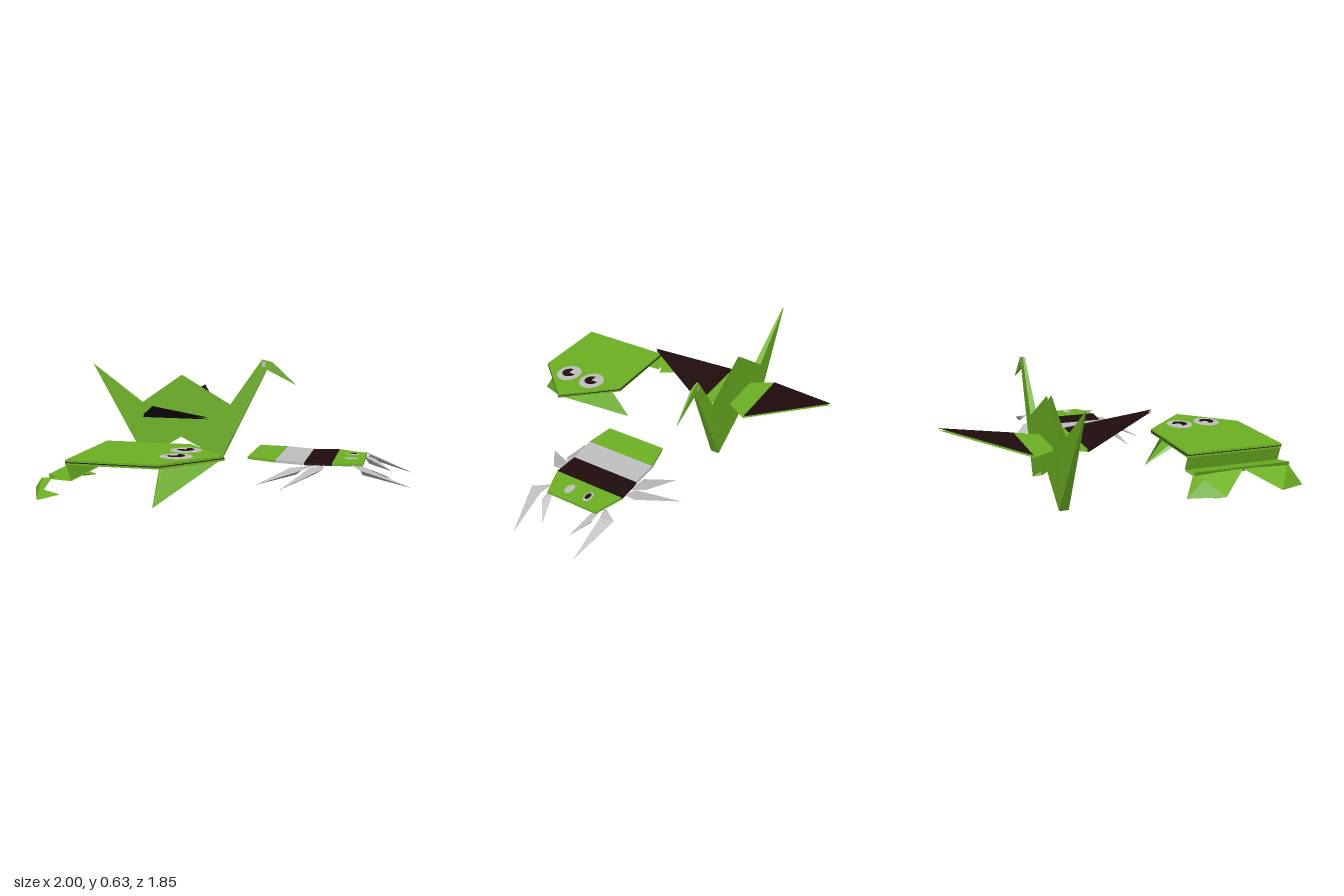
import * as THREE from 'three';

const paint = (name, color) => {
  const m = new THREE.MeshStandardMaterial({ color, side: THREE.DoubleSide, flatShading: true });
  m.name = name;
  return m;
};

export function createModel() {
  const green = paint('greenPaper', 0x6cb022);
  const dark = paint('darkPaper', 0x200c0d);
  const grey = paint('greyPaper', 0xbebebe);
  const model = new THREE.Group();
  model.name = 'foldedPaperAnimals';

  const group = (name) => {
    const g = new THREE.Group();
    g.name = name;
    model.add(g);
    return g;
  };
  // Paper faces: each polygon is a fan around its first corner
  const sheet = (parent, name, mat, ...polys) => {
    const pos = [];
    for (const p of polys)
      for (let i = 1; i < p.length - 1; i++) pos.push(...p[0], ...p[i], ...p[i + 1]);
    const g = new THREE.BufferGeometry();
    g.setAttribute('position', new THREE.Float32BufferAttribute(pos, 3));
    g.computeVertexNormals();
    const m = new THREE.Mesh(g, mat);
    m.name = name;
    parent.add(m);
    return m;
  };
  // Flat board lying in x-z, from an x-z outline
  const board = (parent, name, mat, outline, y, thick) => {
    const s = new THREE.Shape(outline.map(([x, z]) => new THREE.Vector2(x, -z)));
    const g = new THREE.ExtrudeGeometry(s, { depth: thick, bevelEnabled: false });
    g.rotateX(-Math.PI / 2);
    const m = new THREE.Mesh(g, mat);
    m.name = name;
    m.position.y = y;
    parent.add(m);
    return m;
  };
  const disc = (parent, name, mat, x, y, z, rx, rz, start = 0, len = Math.PI * 2) => {
    const m = new THREE.Mesh(new THREE.CircleGeometry(1, 32, start, len), mat);
    m.name = name;
    m.rotation.x = -Math.PI / 2;
    m.scale.set(rx, rz, 1);
    m.position.set(x, y, z);
    parent.add(m);
  };

  // ---- Crane ----
  const crane = group('crane');
  crane.position.z = -0.36;
  for (const s of [1, -1]) {
    const p = (x, y, z) => [x, y, z * s];
    const tailTip = p(-1, 0.59, 0.003), tailTop = p(-0.68, 0.35, 0.018), tailBase = p(-0.66, 0, 0.025);
    const neckTop = p(-0.11, 0.35, 0.018), neckBase = p(-0.16, 0.015, 0.025);
    const crown = p(0.09, 0.635, 0.006), throat = p(0.12, 0.575, 0.008);
    const brow = p(0.15, 0.622, 0.006), beak = p(0.3, 0.485, 0.002);
    sheet(crane, 'craneBody', green,
      [p(-0.42, 0.145, 0.02), tailBase, tailTop, p(-0.42, 0.53, 0.012), neckTop, neckBase]);
    sheet(crane, 'tail', green, [tailTip, tailTop, tailBase]);
    sheet(crane, 'neck', green, [neckBase, neckTop, crown, throat]);
    sheet(crane, 'head', green, [throat, crown, brow, beak]);
    // Folded rims closing the paper towards the middle plane
    const mid = (v) => [v[0], v[1], 0];
    const rim = (a, b) => [a, b, mid(b), mid(a)];
    sheet(crane, 'foldedRim', green, rim(tailTip, tailBase), rim(tailTip, tailTop), rim(neckBase, throat),
      rim(neckTop, crown), rim(crown, brow), rim(brow, beak), rim(throat, beak));
    sheet(crane, 'craneEye', grey,
      [p(0.09, 0.59, 0.011), p(0.112, 0.59, 0.011), p(0.112, 0.625, 0.011), p(0.09, 0.625, 0.011)]);

    // Wings: a level root and a raised dark tip
    for (const y of [0.28, 0.291]) {
      const a = p(-0.63, y, 0.14), b = p(-0.21, y, 0.14);
      sheet(crane, 'wingRoot', green, [p(-0.55, y, 0.015), a, b, p(-0.29, y, 0.015)]);
      sheet(crane, 'wingTip', s > 0 || y > 0.285 ? dark : green, [a, p(-0.42, y + 0.12, 0.565), b]);
    }
  }

  // ---- Frog ----
  const frog = group('frog');
  frog.position.z = 0.585;
  const frogOutline = (g) => [[-0.65, -0.275 - g], [-0.17, -0.275 - g], [0.085, 0],
    [-0.17, 0.275 + g], [-0.65, 0.275 + g]];
  board(frog, 'frogUnderside', green, frogOutline(0), 0.2, 0.01);
  board(frog, 'frogInnerLayer', dark, frogOutline(0.003), 0.21, 0.004);
  board(frog, 'frogBack', green, frogOutline(0), 0.214, 0.011);
  // Pleat behind the back
  const across = (x1, y1, x2, y2) =>
    [[x1, y1, -0.275], [x2, y2, -0.275], [x2, y2, 0.275], [x1, y1, 0.275]];
  sheet(frog, 'pleat', green, across(-0.65, 0.212, -0.62, 0.125), across(-0.62, 0.125, -0.74, 0.15),
    across(-0.74, 0.15, -0.73, 0.125), across(-0.73, 0.125, -0.62, 0.12));
  for (const s of [1, -1]) {
    const p = (x, y, z) => [x, y, z * s];
    // Front leg folded under the head
    const foot = p(-0.19, 0.02, 0.32), nose = p(0.07, 0.205, 0);
    sheet(frog, 'frontLeg', green, [foot, nose, p(-0.24, 0.2, 0.03)],
      [foot, p(-0.24, 0.2, 0.03), p(-0.2, 0.12, 0.19)],
      [foot, nose, p(-0.17, 0.2, 0.2)]);
    // Hind leg and its folded foot
    const a = p(-0.74, 0.14, 0), b = p(-0.87, 0.05, 0.16);
    const c = p(-0.78, 0.03, 0.335), d = p(-0.72, 0.135, 0.275), e = p(-0.7, 0.04, 0.24);
    sheet(frog, 'hindLeg', green, [d, a, b], [d, b, p(-0.79, 0.125, 0.25)], [p(-0.79, 0.125, 0.25), b, c],
      [d, p(-0.79, 0.125, 0.25), c]);
    sheet(frog, 'hindFoot', green, [b, c, e, p(-0.82, 0.03, 0.2)]);
    // Eye with a notched pupil
    disc(frog, 'frogEye', grey, -0.14, 0.229, 0.085 * s, 0.085, 0.072);
    disc(frog, 'frogPupil', dark, -0.14, 0.233, 0.085 * s, 0.045, 0.042, Math.PI, Math.PI * 1.5);
  }

  // ---- Beetle ----
  const beetle = group('beetle');
  beetle.position.z = 0.01;
  // Cross-sections: x, top height, half width
  const rows = [[0.12, 0.147, 0.18], [0.28, 0.14, 0.21], [0.435, 0.132, 0.205], [0.585, 0.135, 0.21], [0.745, 0.13, 0.155]];
  const tops = [green, grey, dark, green];
  const unders = [green, dark, dark, green];
  const names = ['abdomen', 'shellBand', 'darkBand', 'beetleHead'];
  names.forEach((name, i) => {
    const [x1, y1, w1] = rows[i], [x2, y2, w2] = rows[i + 1], t = 0.014;
    sheet(beetle, name, tops[i], [[x1, y1, -w1], [x1, y1, w1], [x2, y2, w2], [x2, y2, -w2]],
      ...[1, -1].map((s) => [[x1, y1, s * w1], [x2, y2, s * w2], [x2, y2 - t, s * w2], [x1, y1 - t, s * w1]]));
    sheet(beetle, name + 'Underside', unders[i],
      [[x1, y1 - t, -w1], [x2, y2 - t, -w2], [x2, y2 - t, w2], [x1, y1 - t, w1]]);
  });
  for (const i of [0, 4]) {
    const [x, y, w] = rows[i];
    sheet(beetle, 'bodyEnd', green, [[x, y, -w], [x, y, w], [x, y - 0.014, w], [x, y - 0.014, -w]]);
  }
  // Legs: tip, outer knee, root, inner edge
  const legs = [
    [[0.335, 0.025, 0.43], [0.545, 0.115, 0.265], [0.55, 0.125, 0.19], [0.47, 0.11, 0.225]],
    [[0.19, 0.02, 0.31], [0.43, 0.1, 0.265], [0.5, 0.122, 0.2], [0.36, 0.1, 0.205]],
    [[1, 0.02, 0.19], [0.74, 0.115, 0.265], [0.68, 0.125, 0.17], [0.76, 0.115, 0.19]],
    [[0.89, 0.045, 0.085], [0.79, 0.1, 0.16], [0.7, 0.122, 0.165], [0.73, 0.115, 0.13]],
  ];
  for (const s of [1, -1]) {
    const flip = ([x, y, z]) => [x, y, z * s];
    for (const leg of legs) {
      const [tip, knee, root, inner] = leg.map(flip);
      const keel = [(knee[0] + inner[0]) / 2, knee[1] - 0.03, (knee[2] + inner[2]) / 2];
      sheet(beetle, 'beetleLeg', grey, [tip, knee, inner], [knee, root, inner],
        [tip, knee, keel], [tip, keel, inner]);
    }
    disc(beetle, 'beetleEye', grey, 0.675, 0.139, 0.06 * s, 0.04, 0.022);
  }
  disc(beetle, 'beetlePupil', dark, 0.675, 0.143, -0.06, 0.025, 0.013);
  return model;
}
